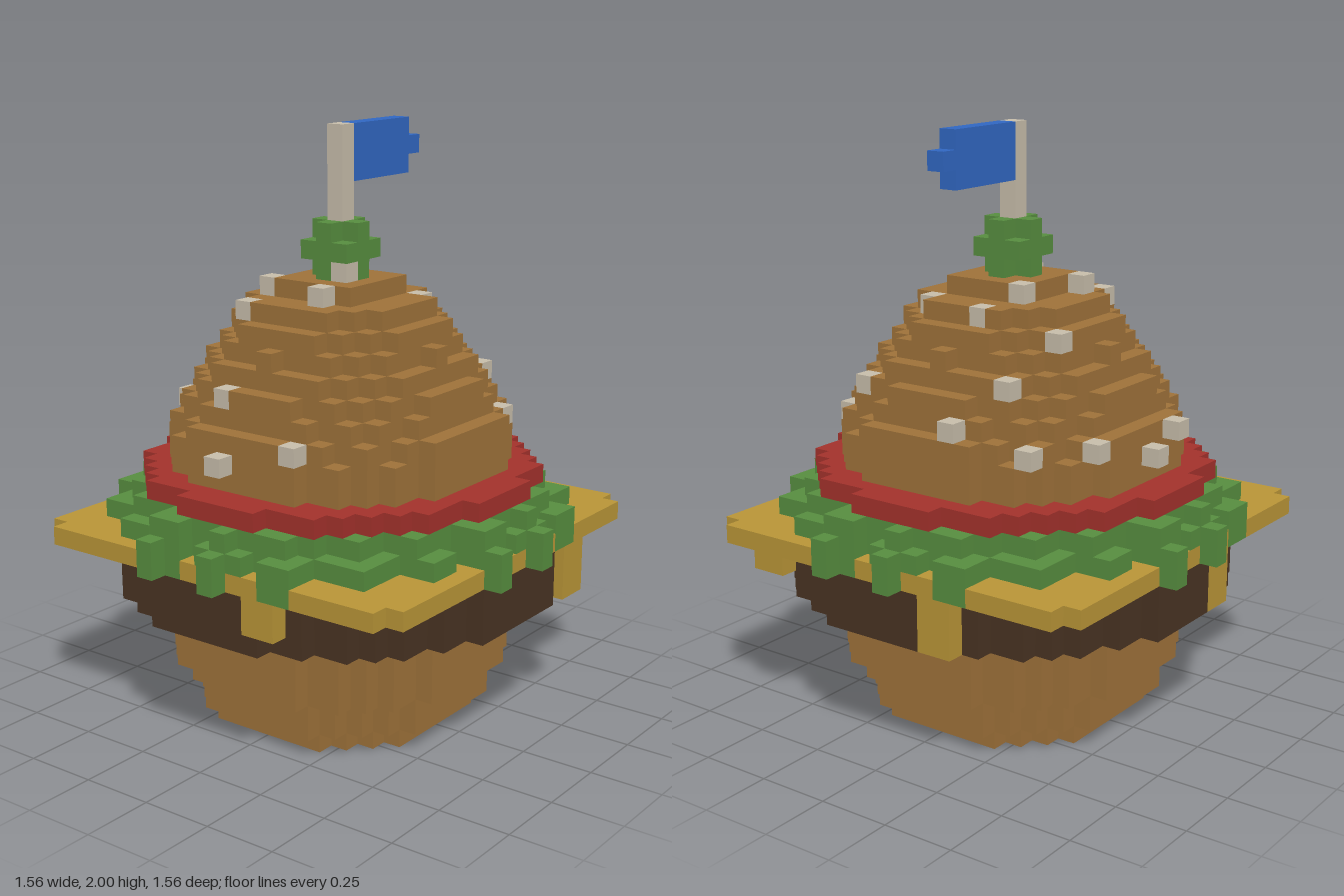
import * as THREE from 'three';

const V = 1 / 16; // edge of one block
const PARTS = {
  bun: ['bun brown', 0xa0733a],
  patty: ['patty dark brown', 0x4a3423],
  cheese: ['cheese gold', 0xbb9738],
  lettuce: ['leaf green', 0x588f40],
  tomato: ['tomato red', 0xa5322c],
  sesameSeeds: ['seed cream', 0xc9bfac],
  leafTuft: ['leaf green', 0x588f40],
  flagPole: ['seed cream', 0xc9bfac],
  flag: ['flag blue', 0x3168c4],
};

export function createModel() {
  const cells = new Map();
  const key = (x, y, z) => `${x},${y},${z}`;
  const put = (part, x, y, z) => cells.set(key(x, y, z), { part, p: [x, y, z] });
  // fill one layer wherever the test is true
  const layer = (part, y, test) => {
    for (let x = -13; x <= 13; x++)
      for (let z = -13; z <= 13; z++) if (test(x, z)) put(part, x, y, z);
  };
  const disc = (part, y, r2) => layer(part, y, (x, z) => x * x + z * z <= r2);
  const box = (part, x0, x1, y0, y1, z0, z1) => {
    for (let x = x0; x <= x1; x++)
      for (let y = y0; y <= y1; y++)
        for (let z = z0; z <= z1; z++) put(part, x, y, z);
  };

  // bottom bun, flaring upward
  [48, 60, 60, 75, 75, 75].forEach((r2, i) => disc('bun', i, r2));

  // patty
  for (let y = 7; y <= 9; y++) disc('patty', y, 131);

  // square cheese slice without its corner blocks, and its drips
  layer('cheese', 10, (x, z) => Math.max(Math.abs(x), Math.abs(z)) <= 11 && Math.abs(x) + Math.abs(z) < 22);
  box('cheese', 5, 6, 7, 9, 11, 11);
  box('cheese', 11, 11, 7, 9, -4, -3);
  box('cheese', 11, 11, 9, 9, 7, 8);
  box('cheese', -11, -11, 8, 9, 3, 4);
  box('cheese', -3, -2, 7, 9, -11, -11);

  // lettuce with a frilly rim that droops at each wave
  const wave = (x, z) => Math.cos(20 * (Math.atan2(z, x) + 0.083));
  const rim = (x, z) => 11.6 + wave(x, z);
  layer('lettuce', 10, (x, z) => {
    const r = Math.hypot(x, z);
    return r > 10.9 && r <= rim(x, z) && wave(x, z) > 0.3;
  });
  layer('lettuce', 11, (x, z) => Math.hypot(x, z) <= rim(x, z));
  layer('lettuce', 12, (x, z) => Math.hypot(x, z) <= 11 + 0.6 * wave(x, z));

  // tomato slice
  disc('tomato', 13, 107);

  // domed top bun
  [75, 75, 73, 62, 56, 45, 36, 30, 20, 8].forEach((r2, i) => disc('bun', 14 + i, r2));

  // sesame seeds
  [
    [3, 22, 3], [4, 22, -1], [2, 23, -2], [-2, 23, -3], [-3, 23, 1], [6, 18, 5],
    [5, 16, 7], [3, 21, -5], [6, 19, -4], [-8, 16, 3], [-9, 15, -1], [0, 15, -9],
    [-2, 16, -9], [4, 16, -8], [7, 16, -6], [8, 17, -2], [-4, 22, -3], [-7, 18, -2],
    [-1, 24, 1],
  ].forEach((s) => put('sesameSeeds', ...s));

  // leaf tuft, pole and notched flag
  for (let y = 24; y <= 26; y++)
    layer('leafTuft', y, (x, z) => x * x + z * z <= (y === 25 ? 2 : 1));
  box('flagPole', 0, 0, 27, 31, 0, 0);
  box('flag', 1, 5, 29, 31, 0, 0);
  put('flag', 6, 30, 0);

  // collect the exposed block faces of each part
  const positions = {};
  for (const { part, p } of cells.values()) {
    const out = (positions[part] ??= []);
    for (let d = 0; d < 3; d++) {
      for (const s of [-1, 1]) {
        const n = [...p];
        n[d] += s;
        if (cells.has(key(...n))) continue;
        const corner = (a, b) => {
          const c = [p[0] - 0.5, p[1], p[2] - 0.5];
          if (s > 0) c[d] += 1;
          c[(d + 1) % 3] += a;
          c[(d + 2) % 3] += b;
          return c.map((q) => q * V);
        };
        const q = [corner(0, 0), corner(1, 0), corner(1, 1), corner(0, 1)];
        if (s < 0) q.reverse();
        for (const i of [0, 1, 2, 0, 2, 3]) out.push(...q[i]);
      }
    }
  }

  // one mesh per part, one material per colour
  const group = new THREE.Group();
  group.name = 'blockBurger';
  const materials = {};
  for (const [part, [name, color]] of Object.entries(PARTS)) {
    if (!materials[name]) {
      materials[name] = new THREE.MeshStandardMaterial({ color });
      materials[name].name = name;
    }
    const geometry = new THREE.BufferGeometry();
    geometry.setAttribute('position', new THREE.Float32BufferAttribute(positions[part], 3));
    geometry.computeVertexNormals();
    const mesh = new THREE.Mesh(geometry, materials[name]);
    mesh.name = part;
    group.add(mesh);
  }
  return group;
}
